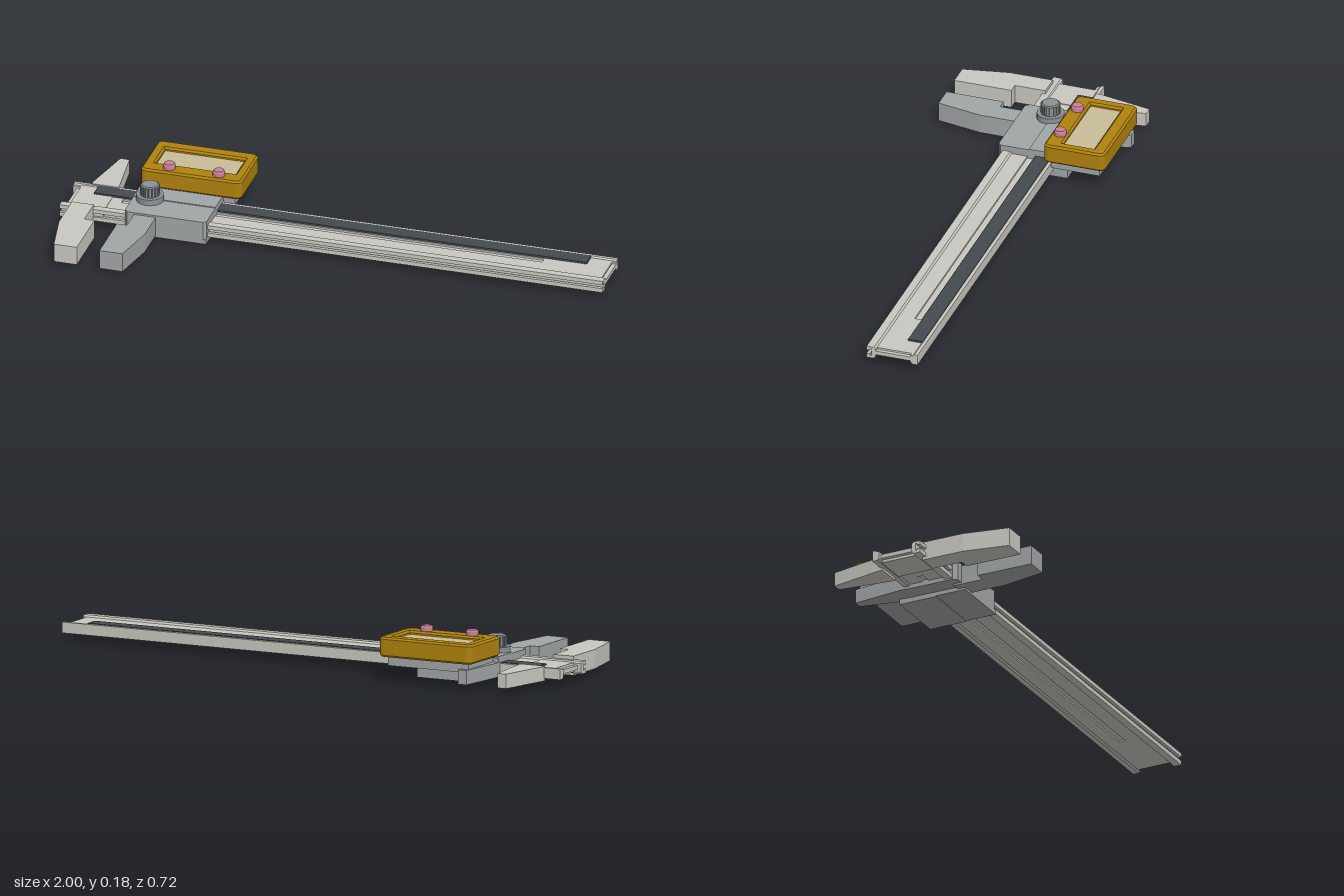
import * as THREE from 'three';

const mat = (name, color) => {
  const m = new THREE.MeshStandardMaterial({ color });
  m.name = name;
  return m;
};

export function createModel() {
  const steel = mat('light steel', 0xc9c7c0);
  const grey = mat('slider grey', 0xa0a5a5);
  const knobGrey = mat('knob grey', 0x8b9194);
  const dark = mat('dark strip', 0x43494d);
  const gold = mat('gold housing', 0xb0820e);
  const glass = mat('screen beige', 0xc9bd98);
  const pink = mat('button pink', 0xc9809a);

  const model = new THREE.Group();
  model.name = 'caliper';
  const add = (name, geometry, material) => {
    const mesh = new THREE.Mesh(geometry, material);
    mesh.name = name;
    model.add(mesh);
    return mesh;
  };
  // box from its limits
  const box = (name, x0, x1, y0, y1, z0, z1, m) =>
    add(name, new THREE.BoxGeometry(x1 - x0, y1 - y0, z1 - z0)
      .translate((x0 + x1) / 2, (y0 + y1) / 2, (z0 + z1) / 2), m);
  const toShape = pts => new THREE.Shape(pts.map(p => new THREE.Vector2(p[0], -p[1])));
  // flat outline of [x, z] points, raised from y0 to y1
  const slab = (name, shape, y0, y1, m, bevel = 0) =>
    add(name, new THREE.ExtrudeGeometry(shape, {
      depth: y1 - y0 - 2 * bevel, bevelEnabled: bevel > 0, bevelSize: bevel,
      bevelThickness: bevel, bevelOffset: -bevel, bevelSegments: 1, curveSegments: 6,
    }).rotateX(-Math.PI / 2).translate(0, y0 + bevel, 0), m);
  const disc = (name, r0, r1, y0, y1, x, z, m) =>
    add(name, new THREE.CylinderGeometry(r1, r0, y1 - y0, 32).translate(x, (y0 + y1) / 2, z), m);
  const rect = (x0, x1, z0, z1) => [[x0, z0], [x0, z1], [x1, z1], [x1, z0]];

  // beam rails: [z, y] sections run along x
  const rail = (name, pts) => {
    const s = new THREE.Shape(pts.map(p => new THREE.Vector2(-p[0], p[1])));
    add(name, new THREE.ExtrudeGeometry(s, { depth: 2, bevelEnabled: false })
      .rotateY(Math.PI / 2).translate(-1, 0, 0), steel);
  };
  rail('frontRail', [
    [0.042, 0.026], [0.042, 0.042], [0.03, 0.042], [0.03, 0.036], [0.024, 0.036], [0.024, 0.062],
    [0.03, 0.062], [0.03, 0.056], [0.042, 0.056], [0.042, 0.071], [0.014, 0.071], [0.008, 0.064],
    [0.008, 0.035], [0.014, 0.026],
  ]);
  rail('backRail', [
    [-0.122, 0.036], [-0.128, 0.03], [-0.148, 0.03], [-0.148, 0.069], [-0.136, 0.069], [-0.13, 0.064],
    [-0.122, 0.064],
  ]);

  // beam web with a long shallow groove above and below
  box('beamWeb', -0.985, 1, 0.042, 0.057, -0.13, 0.01, steel);
  for (const [name, y0, y1] of [['webTop', 0.057, 0.064], ['webBottom', 0.036, 0.042]]) {
    const s = toShape(rect(-0.97, 0.985, -0.13, 0.01));
    s.holes.push(new THREE.Path(rect(-0.8, 0.75, -0.075, -0.05).map(p => new THREE.Vector2(p[0], -p[1]))));
    slab(name, s, y0, y1, steel);
  }
  box('scaleStrip', -0.91, 0.905, 0.064, 0.071, -0.135, -0.08, dark);

  // fixed head and jaws
  box('fixedHead', -0.97, -0.84, 0.032, 0.066, -0.145, 0.035, steel);
  const lowerJaw = [[-0.957, 0.03], [-0.957, 0.19], [-0.925, 0.357], [-0.84, 0.357],
    [-0.84, 0.144], [-0.877, 0.144], [-0.877, 0.03]];
  const upperJaw = [[-0.895, -0.352], [-0.936, -0.155], [-0.936, -0.14], [-0.838, -0.14],
    [-0.838, -0.155], [-0.861, -0.352]];
  slab('fixedLowerJaw', toShape(lowerJaw), 0.015, 0.084, steel);
  slab('fixedUpperJaw', toShape(upperJaw), 0.021, 0.073, steel);

  // sliding jaws mirror the fixed ones
  const mirror = pts => pts.map(([x, z]) => [-1.597 - x, z]).reverse();
  slab('slidingLowerJaw', toShape(mirror(lowerJaw)), 0.013, 0.084, grey);
  slab('slidingUpperJaw', toShape(mirror(upperJaw)), 0.021, 0.073, grey);

  // slider body
  const body = [[-0.757, -0.155], [-0.757, 0.045], [-0.745, 0.06], [-0.465, 0.06],
    [-0.455, 0.05], [-0.455, -0.155]];
  slab('sliderBody', toShape(body), 0.02, 0.091, grey);
  box('sliderTopPlate', -0.757, -0.455, 0.088, 0.094, -0.16, -0.056, grey);
  box('sliderBack', -0.69, -0.455, 0.003, 0.062, -0.2, -0.15, grey);
  box('sliderUnderside', -0.69, -0.455, 0.005, 0.022, -0.06, 0.06, grey);
  box('sliderBottomPlate', -0.69, -0.455, 0.002, 0.022, -0.2, -0.056, grey);
  box('displayBase', -0.735, -0.412, 0.061, 0.096, -0.335, -0.153, grey);

  // display housing with a framed screen
  const x0 = -0.757, x1 = -0.385, z0 = -0.36, z1 = -0.132, r = 0.025;
  const frame = new THREE.Shape();
  frame.moveTo(x0 + r, -z1);
  frame.lineTo(x1 - r, -z1);
  frame.quadraticCurveTo(x1, -z1, x1, -z1 + r);
  frame.lineTo(x1, -z0 - r);
  frame.quadraticCurveTo(x1, -z0, x1 - r, -z0);
  frame.lineTo(x0 + r, -z0);
  frame.quadraticCurveTo(x0, -z0, x0, -z0 - r);
  frame.lineTo(x0, -z1 + r);
  frame.quadraticCurveTo(x0, -z1, x0 + r, -z1);
  frame.holes.push(new THREE.Path(rect(-0.717, -0.423, -0.31, -0.195).map(p => new THREE.Vector2(p[0], -p[1]))));
  slab('displayFrame', frame, 0.094, 0.165, gold, 0.007);
  box('displayFloor', -0.735, -0.405, 0.096, 0.146, -0.335, -0.16, gold);
  box('screen', -0.72, -0.42, 0.144, 0.152, -0.313, -0.192, glass);

  // push buttons
  for (const x of [-0.658, -0.476]) {
    disc('button', 0.022, 0.022, 0.16, 0.179, x, -0.166, pink);
    disc('buttonCap', 0.022, 0.018, 0.179, 0.185, x, -0.166, pink);
  }

  // knurled lock screw
  const kx = -0.695, kz = -0.053;
  disc('screwCollar', 0.049, 0.049, 0.09, 0.113, kx, kz, knobGrey);
  const knurl = new THREE.Shape();
  const teeth = 18;
  for (let i = 0; i < teeth; i++) {
    [[0, 0.035], [0.55, 0.035], [0.65, 0.031], [0.9, 0.031]].forEach(([t, rad], j) => {
      const a = (i + t) / teeth * Math.PI * 2;
      const px = kx + rad * Math.cos(a), py = -kz + rad * Math.sin(a);
      if (i + j === 0) knurl.moveTo(px, py); else knurl.lineTo(px, py);
    });
  }
  slab('screwKnob', knurl, 0.113, 0.149, knobGrey);
  disc('screwCap', 0.033, 0.029, 0.149, 0.153, kx, kz, knobGrey);

  return model;
}
